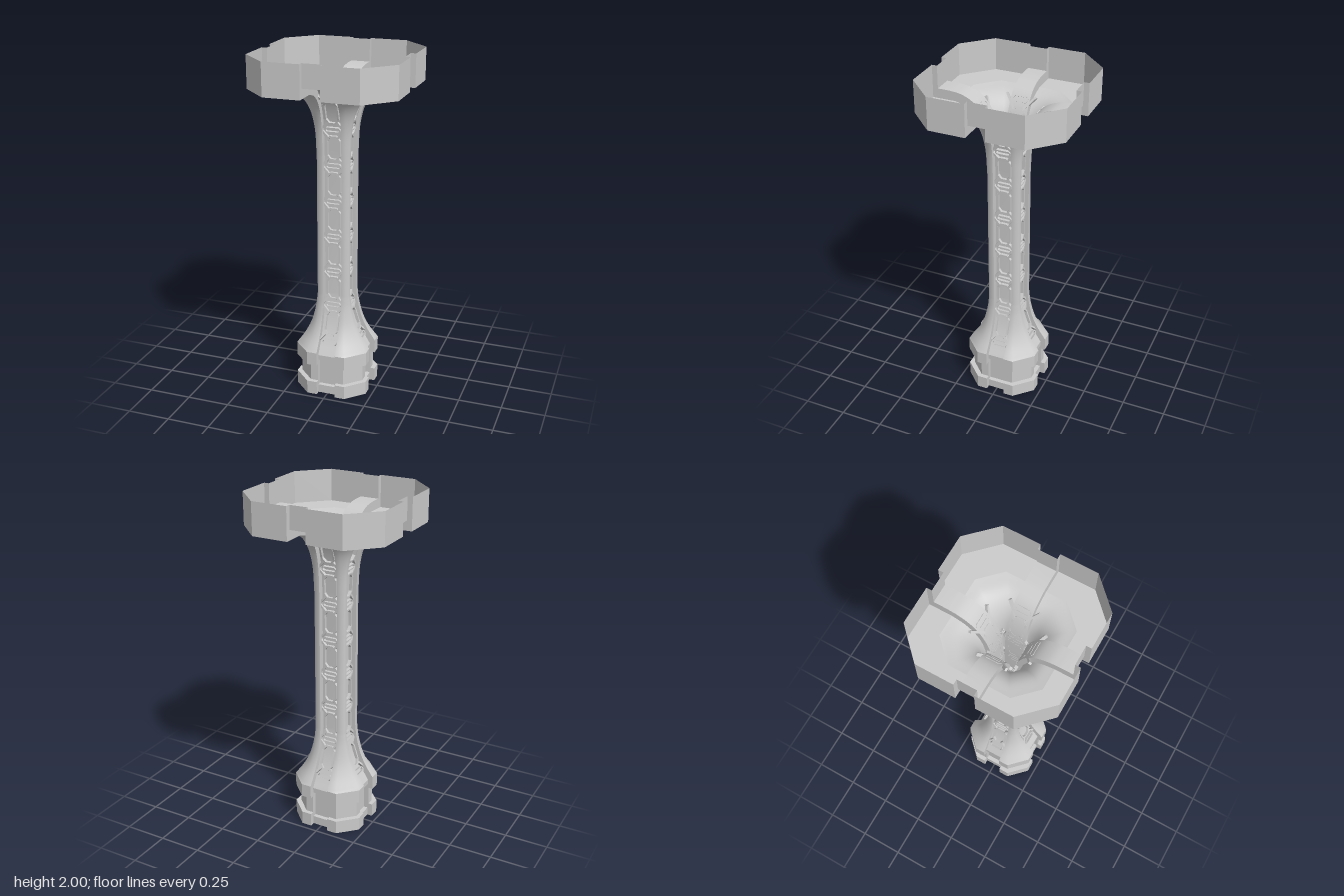
import * as THREE from 'three';
import { mergeGeometries, toCreasedNormals } from 'three/addons/utils/BufferGeometryUtils.js';

const W = 0.055; // half width of the channel in each side
const material = new THREE.MeshStandardMaterial({ color: 0xcccccc, side: THREE.DoubleSide });

// profile points: half width, height, corner chamfer
const P = (h, y, c = 0) => new THREE.Vector3(h, y, c);
const smooth = (pts, n) => new THREE.CatmullRomCurve3(pts, false, 'centripetal').getPoints(n);

const baseProfile = [
  P(0.215, 0, 0.1), P(0.215, 0.08, 0.1), P(0.19, 0.08, 0.09),
  P(0.19, 0.19, 0.09), P(0.215, 0.19, 0.1), P(0.215, 0.27, 0.1),
];
const shaftProfile = [
  ...smooth([P(0.215, 0.27, 0.1), P(0.165, 0.345, 0.07), P(0.13, 0.42, 0.045),
    P(0.105, 0.52, 0.025), P(0.095, 0.6, 0.015)], 20),
  ...smooth([P(0.095, 1.42, 0.015), P(0.105, 1.59, 0.022), P(0.13, 1.69, 0.04),
    P(0.17, 1.755, 0.065), P(0.22, 1.795, 0.09), P(0.29, 1.815, 0.115)], 26),
];
const rimProfile = [P(0.29, 1.815, 0.115), P(0.42, 1.815, 0.155), P(0.42, 2, 0.155)];

// recessed channel floor
const lowerFloor = [P(0.185, 0), P(0.185, 0.05), P(0.16, 0.05), P(0.16, 0.215), P(0.185, 0.215)];
const curvedFloor = [
  ...smooth([P(0.185, 0.245), P(0.14, 0.32), P(0.1, 0.41), P(0.073, 0.51), P(0.06, 0.6)], 20),
  ...smooth([P(0.06, 1.42), P(0.072, 1.59), P(0.096, 1.69), P(0.13, 1.765),
    P(0.18, 1.825), P(0.25, 1.86), P(0.32, 1.87)], 26),
];
const floorProfile = [...lowerFloor, ...curvedFloor, P(0.39, 1.87), P(0.39, 2)];

// skin a list of rings (each a list of [x, y, z])
function loft(rings, crease) {
  const n = rings[0].length, index = [];
  for (let i = 0; i < rings.length - 1; i++) {
    for (let j = 0; j < n - 1; j++) {
      const a = i * n + j, b = a + 1, c = a + n, d = c + 1;
      index.push(a, b, d, a, d, c);
    }
  }
  const g = new THREE.BufferGeometry();
  g.setAttribute('position', new THREE.Float32BufferAttribute(rings.flat(2), 3));
  g.setIndex(index);
  return toCreasedNormals(g, crease);
}

// chamfered corner strip from one channel edge round to the next
const cornerSkin = (profile, crease) => loft(profile.map(({ x: h, y, z: c }) =>
  [[W, y, h], [h - c, y, h], [h, y, h - c], [h, y, W]]), crease);

// distance of the channel floor from the axis at a height
function floorDepth(y) {
  let i = 0;
  while (i < curvedFloor.length - 2 && curvedFloor[i + 1].y < y) i++;
  const a = curvedFloor[i], b = curvedFloor[i + 1];
  return THREE.MathUtils.lerp(a.x, b.x, (y - a.y) / (b.y - a.y));
}

// lattice bar between two points (u, y) laid over the channel floor
function bar([u1, y1], [u2, y2], width) {
  const place = (u, y) => new THREE.Vector3(u, y, floorDepth(y) + 0.008);
  const a = place(u1, y1), b = place(u2, y2), ym = (y1 + y2) / 2;
  const slope = (floorDepth(ym + 0.01) - floorDepth(ym - 0.01)) / 0.02;
  const dir = b.clone().sub(a);
  const g = new THREE.BoxGeometry(dir.length() + width * 0.4, width, 0.018);
  dir.normalize();
  const across = new THREE.Vector3(0, -slope, 1).normalize().cross(dir).normalize();
  const normal = dir.clone().cross(across);
  g.applyMatrix4(new THREE.Matrix4().makeBasis(dir, across, normal).setPosition(a.add(b).multiplyScalar(0.5)));
  return g;
}

function latticeGeometry() {
  const bars = [], start = 0.425, step = 0.21, cells = 7;
  const frame = (pts, width) => pts.forEach((p, i) => bars.push(bar(p, pts[(i + 1) % pts.length], width)));
  const ring = (y, w, inner, h, flat) => [
    [inner, y - h], [w, y - flat], [w, y + flat], [inner, y + h],
    [-inner, y + h], [-w, y + flat], [-w, y - flat], [-inner, y - h]];
  for (let k = 0; k <= cells; k++) {
    const y = start + k * step;
    // small link between neighbouring cells
    frame(ring(y - step / 2, 0.042, 0.034, 0.012, 0.004), 0.007);
    if (k === cells) break;
    // tall eight sided frame with diagonal struts
    frame(ring(y, 0.037, 0.018, 0.066, 0.042), 0.01);
    for (const s of [-1, 1]) {
      for (const t of [-1, 1]) {
        bars.push(bar([s * 0.026, y + t * 0.058], [s * 0.083, y + t * 0.122], 0.012));
      }
    }
  }
  return mergeGeometries(bars);
}

export function createModel() {
  const model = new THREE.Group();
  const bodyProfile = [...baseProfile, ...shaftProfile.slice(1), ...rimProfile.slice(1)];

  // flat side wall of a channel, between body and floor profiles
  const wallShape = new THREE.Shape([...bodyProfile, ...floorProfile.slice().reverse()]
    .map((p) => new THREE.Vector2(p.x, p.y)));
  const wall = new THREE.ShapeGeometry(wallShape).rotateY(-Math.PI / 2);

  const parts = {
    baseCorner: cornerSkin(baseProfile, 0.5),
    shaftCorner: cornerSkin(shaftProfile, 1.0),
    rimCorner: cornerSkin(rimProfile, 0.5),
    channelFloor: loft(floorProfile.map((p) => [[-W, p.y, p.x], [W, p.y, p.x]]), 0.5),
    channelWalls: mergeGeometries([wall.clone().translate(-W, 0, 0), wall.clone().translate(W, 0, 0)]),
    lattice: latticeGeometry(),
  };

  // the same quarter on all four sides
  for (let i = 0; i < 4; i++) {
    const quarter = new THREE.Group();
    quarter.name = ['front', 'left', 'back', 'right'][i] + 'Quarter';
    quarter.rotation.y = i * Math.PI / 2;
    for (const [name, geometry] of Object.entries(parts)) {
      const mesh = new THREE.Mesh(geometry, material);
      mesh.name = name;
      quarter.add(mesh);
    }
    model.add(quarter);
  }
  return model;
}
